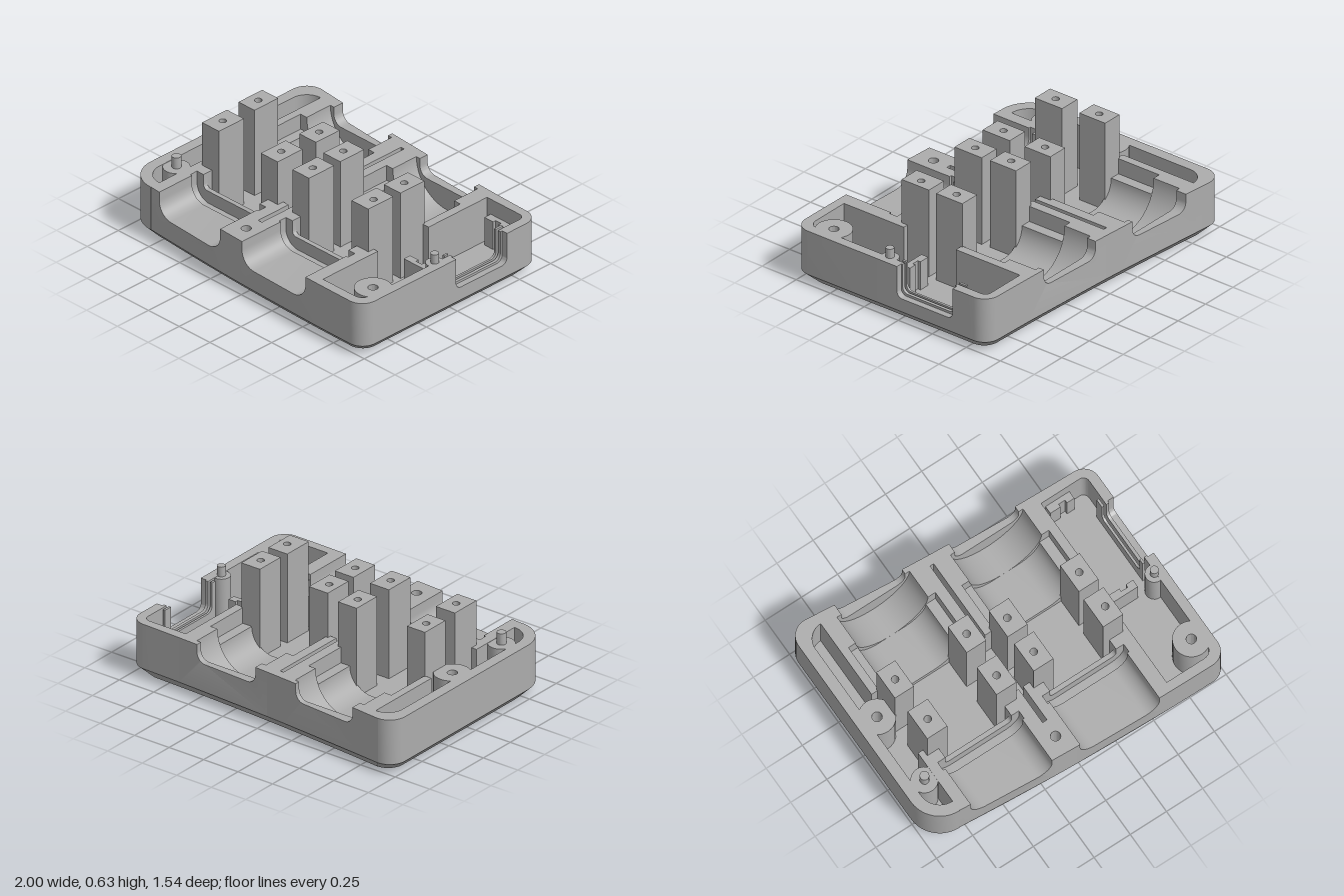
import * as THREE from 'three';
import { toCreasedNormals } from 'three/addons/utils/BufferGeometryUtils.js';

const FLOOR = 0.065, TOP = 0.35, POST_TOP = 0.635;
// slightly bowed front and back edges of the case
const frontZ = x => 0.742 + 0.049 * x - 0.026 * x * x;
const backZ = x => -0.695 + 0.065 * x - 0.0229 * x * x;

const arc = (cx, cz, r, a0, a1, n = 12) => Array.from({ length: n + 1 }, (_, i) => {
  const a = (a0 + (a1 - a0) * i / n) * Math.PI / 180;
  return [cx + r * Math.cos(a), cz + r * Math.sin(a)];
});
const edge = (f, x0, x1, n = 12) => Array.from({ length: n + 1 }, (_, i) => {
  const x = x0 + (x1 - x0) * i / n;
  return [x, f(x)];
});
const rect = (x0, x1, z0, z1) => [[x0, z0], [x1, z0], [x1, z1], [x0, z1]];

// outline corners
const frontRight = arc(0.9, 0.665, 0.1, 90, 0);
const backRight = arc(0.9, -0.555, 0.1, 0, -90);
const backLeft = arc(-0.89, -0.66, 0.11, -90, -180);
const frontLeft = arc(-0.8, 0.488, 0.2, 180, 90);

export function createModel() {
  const model = new THREE.Group();
  model.name = 'enclosureBase';
  const grey = new THREE.MeshStandardMaterial({ color: 0xacacac });
  grey.name = 'grey plastic';

  const add = (name, geo) => {
    const mesh = new THREE.Mesh(toCreasedNormals(geo, 0.5), grey);
    mesh.name = name;
    model.add(mesh);
    return mesh;
  };

  // plan shape (x, z) raised from y0 to y1; holes are [x, z, radius]
  const slabGeo = (pts, y0, y1, holes = []) => {
    const shape = new THREE.Shape(pts.map(([x, z]) => new THREE.Vector2(x, -z)));
    for (const [x, z, r] of holes) shape.holes.push(new THREE.Path().absarc(x, -z, r, 0, Math.PI * 2));
    return new THREE.ExtrudeGeometry(shape, { depth: y1 - y0, bevelEnabled: false, curveSegments: 16 })
      .rotateX(-Math.PI / 2).translate(0, y0, 0);
  };
  const slab = (name, ...args) => add(name, slabGeo(...args));

  // block with a round-cornered U notch from a to b, in the (x, y) plane
  const notched = (x0, x1, y1, a, b, bottom, r) => [
    [x0, FLOOR], [x1, FLOOR], [x1, y1], [b, y1],
    ...arc(b - r, bottom + r, r, 0, -90), ...arc(a + r, bottom + r, r, -90, -180),
    [a, y1], [x0, y1],
  ];
  // (x, y) profile swept in z between two limits, each a number or a function of x
  const sweepGeo = (pts, lo, hi) => {
    const shape = new THREE.Shape(pts.map(p => new THREE.Vector2(...p)));
    const geo = new THREE.ExtrudeGeometry(shape, { depth: 1, bevelEnabled: false });
    const p = geo.attributes.position;
    const at = (f, x) => typeof f === 'function' ? f(x) : f;
    for (let i = 0; i < p.count; i++) {
      const x = p.getX(i);
      p.setZ(i, at(p.getZ(i) < 0.5 ? lo : hi, x));
    }
    return geo;
  };
  const sweep = (name, ...args) => add(name, sweepGeo(...args));

  // floor pan: chamfered bottom rim and countersunk screw holes
  const screws = [[-0.87, -0.05, 0.03], [0.885, 0.565, 0.03], [-0.09, 0.62, 0.03]];
  const outline = [...edge(frontZ, -0.8, 0.9), ...frontRight, ...backRight,
    ...edge(backZ, 0.9, -0.89), ...backLeft, ...frontLeft.slice(0, -1)];
  const pan = slabGeo(outline, 0, FLOOR, screws);
  const pos = pan.attributes.position;
  for (let i = 0; i < pos.count; i++) {
    if (pos.getY(i) > 0.01) continue;
    const x = pos.getX(i), z = pos.getZ(i);
    const s = screws.find(([sx, sz]) => Math.hypot(x - sx, z - sz) < 0.04);
    if (s) {
      pos.setX(i, s[0] + (x - s[0]) * 1.5);
      pos.setZ(i, s[1] + (z - s[1]) * 1.5);
    } else {
      pos.setX(i, x * 0.938);
      pos.setZ(i, z * 0.917);
    }
  }
  add('floorPan', pan);

  // left wall wrapping both corners
  slab('leftWall', [...edge(backZ, -0.82, -0.89, 2), ...backLeft, ...frontLeft,
    ...arc(-0.8, 0.488, 0.13, 90, 180), ...arc(-0.82, -0.59, 0.11, 180, 270)], FLOOR, TOP);
  // right wall corners
  slab('backRightWall', [...edge(backZ, 0.63, 0.9, 4), ...backRight.slice().reverse(),
    [1, -0.5], [0.94, -0.5], ...arc(0.9, -0.56, 0.04, 0, -90, 6), [0.63, -0.6]], FLOOR, TOP);
  slab('frontRightWall', [...edge(frontZ, 0.6, 0.9, 4), ...frontRight,
    [1, 0.1], [0.94, 0.1], ...arc(0.88, 0.645, 0.06, 0, 90, 6), [0.6, 0.705]], FLOOR, TOP);
  // right wall port opening with a thin inner frame (profiles run along -z)
  for (const [name, z0, z1, a, b, bottom, x0, x1] of [
    ['portWall', -0.1, 0.5, -0.01, 0.4, 0.15, 0.96, 1],
    ['portLip', -0.1, 0.5, 0, 0.385, 0.165, 0.94, 0.96],
    ['portFrame', -0.03, 0.44, 0, 0.385, 0.165, 0.91, 0.925],
  ]) add(name, sweepGeo(notched(z0, z1, TOP, a, b, bottom, 0.04), x0, x1).rotateY(Math.PI / 2));

  // front cable bays: open mouth, wider groove, raised lip, side cheeks
  for (const [x0, x1, c] of [[-0.8, -0.175, -0.4575], [-0.025, 0.62, 0.265]]) {
    const u = (half, bottom, r) => notched(x0, x1, TOP, c - half, c + half, bottom, r);
    sweep('frontBayMouth', u(0.267, 0.195, 0.1), 0.43, frontZ);
    sweep('frontBayGroove', u(0.281, 0.175, 0.1), 0.375, 0.43);
    sweep('frontBayLip', u(0.228, 0.255, 0.03), 0.345, 0.375);
    slab('frontBayCheek', rect(x0, c - 0.228, 0.265, 0.345), FLOOR, TOP);
    slab('frontBayCheek', rect(c + 0.228, x1, 0.265, 0.345), FLOOR, TOP);
  }
  // island between the front bays, with slot and screw hole
  slab('frontIsland', [[-0.178, 0.265], [-0.105, 0.265], [-0.105, 0.51], [-0.075, 0.51], [-0.075, 0.265],
    [-0.022, 0.265], ...edge(frontZ, -0.022, -0.178, 4)], FLOOR, TOP, [screws[2]]);

  // back bays: wall opening, half-round trough, stepped inner end
  for (const [x0, x1, c, dz] of [[-0.82, -0.155, -0.47, 0], [-0.03, 0.635, 0.28, 0.05]]) {
    sweep('backBayOpening', notched(x0, x1, TOP, c - 0.22, c + 0.22, 0.24, 0.06), backZ, -0.68 + dz);
    sweep('backBayTrough', notched(x0, x1, TOP, c - 0.25, c + 0.25, 0.1, 0.249), -0.68 + dz, -0.49 + dz);
    sweep('backBayStep', notched(x0, x1, 0.25, c - 0.235, c + 0.235, 0.1, 0.149), -0.49 + dz, -0.18 + dz);
    slab('backBayCheek', rect(x0, c - 0.3, -0.49 + dz, -0.18 + dz), FLOOR, TOP);
    slab('backBayCheek', rect(c + 0.3, x1, -0.49 + dz, -0.18 + dz), FLOOR, TOP);
  }
  // island between the back bays, with slot
  slab('backIsland', [[-0.155, -0.115], [-0.105, -0.115], [-0.105, -0.64], [-0.08, -0.64], [-0.08, -0.115],
    [-0.03, -0.115], ...edge(backZ, -0.03, -0.155, 4)], FLOOR, TOP);

  // tall mounting posts with pilot holes: x range, z range, hole centre
  for (const [x0, x1, z0, z1, hx, hz] of [
    [-0.78, -0.65, -0.19, 0, -0.715, -0.095], [-0.285, -0.15, -0.19, 0, -0.22, -0.095],
    [-0.037, 0.1, -0.14, 0.052, 0.027, -0.045], [0.455, 0.59, -0.14, 0.052, 0.523, -0.045],
    [-0.765, -0.627, 0.108, 0.308, -0.695, 0.21], [-0.287, -0.15, 0.108, 0.308, -0.22, 0.21],
    [-0.03, 0.105, 0.108, 0.308, 0.037, 0.21], [0.45, 0.587, 0.108, 0.308, 0.53, 0.21],
  ]) slab('mountingPost', rect(x0, x1, z0, z1), FLOOR, POST_TOP, [[hx, hz, 0.022]]);

  // screw bosses
  for (const s of screws.slice(0, 2))
    slab('screwBoss', arc(s[0], s[1], 0.11, 0, 360, 32).slice(0, -1), FLOOR, TOP, [s]);

  // locating pegs on small bosses
  for (const [x, z, r, bossR, h] of [[-0.86, 0.42, 0.028, 0.08, 0.42], [0.933, 0.115, 0.025, 0.055, 0.41]]) {
    slab('pegBoss', arc(x, z, bossR, 0, 360, 24).slice(0, -1), FLOOR, TOP - 0.002);
    slab('locatingPeg', arc(x, z, r, 0, 360, 20).slice(0, -1), TOP - 0.01, h);
  }

  // board clips, each with a notch facing the other
  for (const [z, d] of [[-0.6, 1], [0.1, -1]])
    slab('boardClip', [[0.665, z], [0.83, z], [0.83, z + d * 0.05], [0.78, z + d * 0.05], [0.78, z + d * 0.03],
      [0.735, z + d * 0.03], [0.735, z + d * 0.05], [0.665, z + d * 0.05]], FLOOR, 0.25);

  return model;
}
